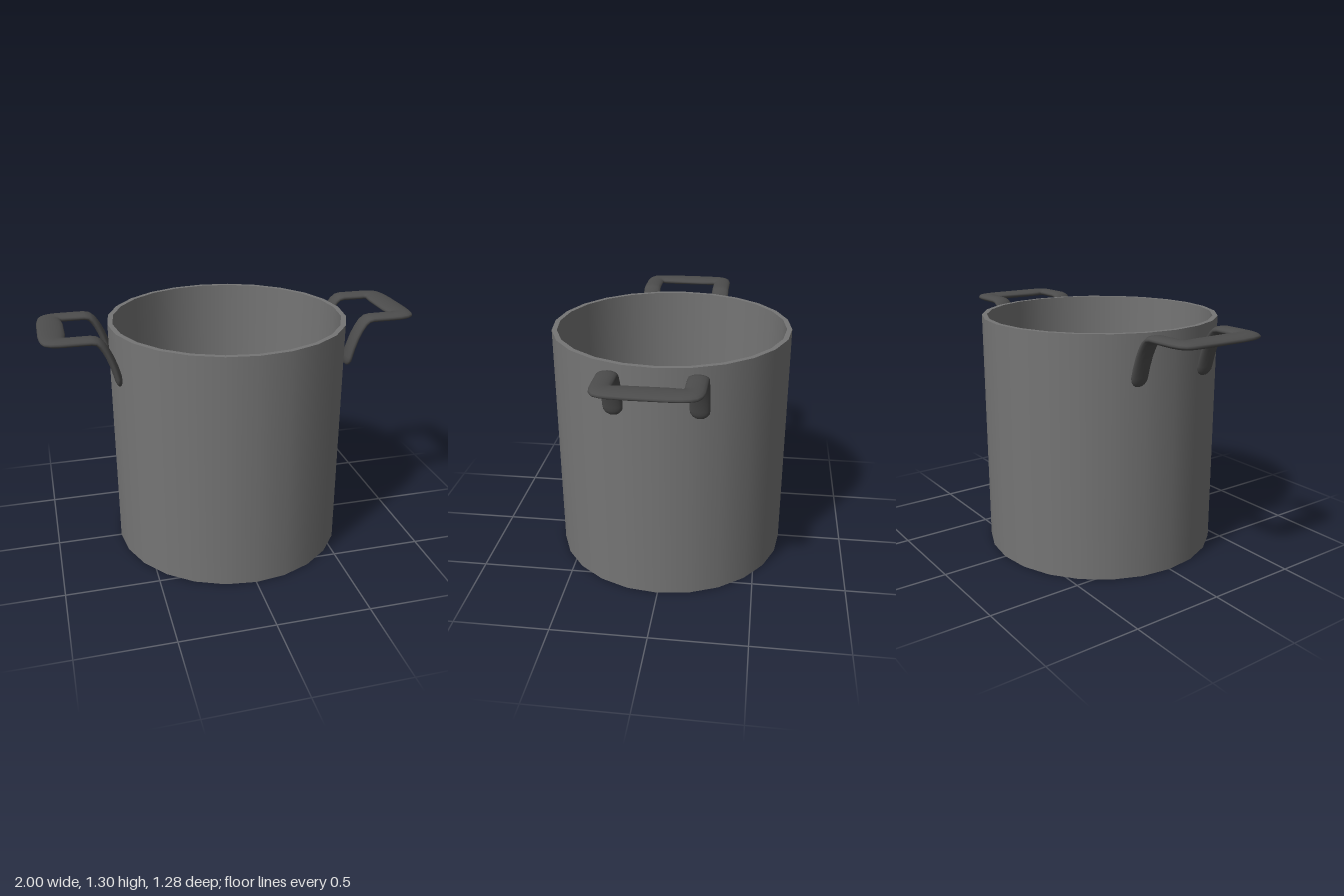
import * as THREE from 'three';

const potMetal = new THREE.MeshStandardMaterial({ color: 0x757575 });
potMetal.name = 'pot metal';
const handleMetal = new THREE.MeshStandardMaterial({ color: 0x4c4c4c });
handleMetal.name = 'handle metal';

const R = 0.64, INNER = 0.613, H = 1.29, FLOOR = 0.03, SIDES = 24;

// One lathed surface per profile edge keeps the rims sharp and the walls smooth
function createPot() {
  const pot = new THREE.Group();
  pot.name = 'pot';
  const profile = [[0, 0], [R, 0], [R, H], [INNER, H], [INNER, FLOOR], [0, FLOOR]];
  const names = ['base', 'outerWall', 'rim', 'innerWall', 'floor'];
  names.forEach((name, i) => {
    const edge = [profile[i], profile[i + 1]].map(p => new THREE.Vector2(...p));
    const mesh = new THREE.Mesh(new THREE.LatheGeometry(edge, SIDES), potMetal);
    mesh.name = name;
    pot.add(mesh);
  });
  return pot;
}

// Flattened loop handle: elliptical rings swept up one leg, round the grip and down the other
function handleGeometry() {
  const Y = 1.284, T = 0.02, RING = 16;
  const stations = [];

  // Leg: x, y of the centre line and the ring scale, which rounds off the tip
  const leg = [
    [0.616, 1.03, 0.03], [0.6165, 1.034, 0.4], [0.618, 1.044, 0.7], [0.621, 1.06, 0.93],
    [0.624, 1.08, 1], [0.637, 1.13, 1], [0.657, 1.187, 1], [0.678, 1.23, 1],
    [0.7, 1.263, 1], [0.72, 1.279, 1], [0.745, Y, 1], [0.8, Y, 1], [0.85, Y, 1],
  ];
  leg.forEach(([x, y, s], i) => {
    const a = leg[Math.max(i - 1, 0)], b = leg[Math.min(i + 1, leg.length - 1)];
    const normal = new THREE.Vector3(a[1] - b[1], b[0] - a[0], 0).normalize();
    stations.push({ c: new THREE.Vector3(x, y, 0.211), w: new THREE.Vector3(0, 0, 0.05 * s), n: normal.multiplyScalar(T * s) });
  });

  // Corner and half the grip: inner x, z and outer x, z
  const corner = [
    [0.862, 0.162, 0.9, 0.26], [0.867, 0.161, 0.945, 0.251], [0.871, 0.158, 0.975, 0.231],
    [0.871, 0.15, 0.989, 0.2], [0.868, 0.135, 0.995, 0.165], [0.863, 0.09, 1, 0.1],
  ];
  for (const [ix, iz, ox, oz] of corner) {
    stations.push({
      c: new THREE.Vector3((ix + ox) / 2, Y, (iz + oz) / 2),
      w: new THREE.Vector3((ox - ix) / 2, 0, (oz - iz) / 2),
      n: new THREE.Vector3(0, T, 0),
    });
  }

  // Mirror to the other leg
  const flip = v => new THREE.Vector3(v.x, v.y, -v.z);
  const all = stations.concat(stations.map(s => ({ c: flip(s.c), w: flip(s.w), n: flip(s.n) })).reverse());

  const positions = [], index = [];
  all.forEach(({ c, w, n }, i) => {
    for (let j = 0; j < RING; j++) {
      const a = (j / RING) * Math.PI * 2;
      positions.push(...c.clone().addScaledVector(w, Math.cos(a)).addScaledVector(n, Math.sin(a)).toArray());
      if (i === all.length - 1) continue;
      const k = (j + 1) % RING, p = i * RING, q = p + RING;
      index.push(p + j, q + j, p + k, q + j, q + k, p + k);
    }
  });
  const geometry = new THREE.BufferGeometry();
  geometry.setAttribute('position', new THREE.Float32BufferAttribute(positions, 3));
  geometry.setIndex(index);
  geometry.computeVertexNormals();
  return geometry;
}

export function createModel() {
  const model = new THREE.Group();
  model.name = 'stockpot';
  model.add(createPot());
  const geometry = handleGeometry();
  ['leftHandle', 'rightHandle'].forEach((name, i) => {
    const handle = new THREE.Mesh(geometry, handleMetal);
    handle.name = name;
    handle.rotation.y = i * Math.PI;
    model.add(handle);
  });
  return model;
}
